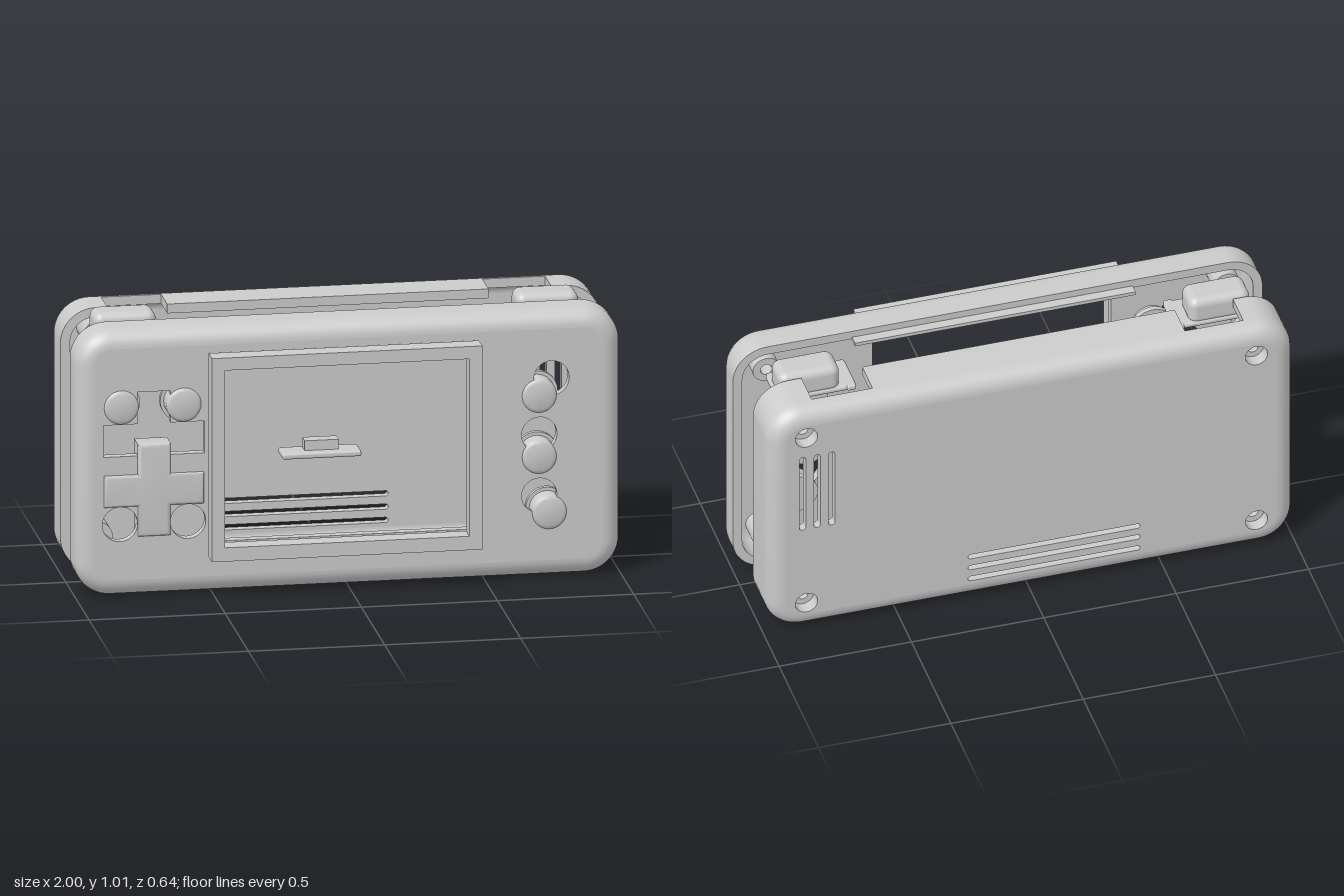
import * as THREE from 'three';
import { toCreasedNormals } from 'three/addons/utils/BufferGeometryUtils.js';
import { RoundedBoxGeometry } from 'three/addons/geometries/RoundedBoxGeometry.js';

const grey = new THREE.MeshStandardMaterial({ color: 0xcccccc });
const V2 = (x, y) => new THREE.Vector2(x, y);

function add(parent, name, geometry, x = 0, y = 0, z = 0) {
  const mesh = new THREE.Mesh(geometry, grey);
  mesh.name = name;
  mesh.position.set(x, y, z);
  parent.add(mesh);
  return mesh;
}

// Outline shapes
const polygon = (pts) => new THREE.Shape(pts.map(([x, y]) => V2(x, y)));
const rect = (x0, y0, x1, y1) => polygon([[x0, y0], [x1, y0], [x1, y1], [x0, y1]]);
const circle = (x, y, r) => new THREE.Shape().absarc(x, y, r, 0, Math.PI * 2);
const cross = (x, y, a, b, w) => polygon([
  [x - w, y - b], [x + w, y - b], [x + w, y - w], [x + a, y - w], [x + a, y + w], [x + w, y + w],
  [x + w, y + b], [x - w, y + b], [x - w, y + w], [x - a, y + w], [x - a, y - w], [x - w, y - w]]);
function slot(x0, y0, x1, y1, r) {
  const a = Math.atan2(y1 - y0, x1 - x0);
  return new THREE.Shape()
    .absarc(x1, y1, r, a - Math.PI / 2, a + Math.PI / 2)
    .absarc(x0, y0, r, a + Math.PI / 2, a + Math.PI * 1.5);
}

// Rounded rectangle loop with outward normals; notches cut into the rim of bottom and top edges
function shellLoop(hw, hh, radius, bottom, top) {
  const loop = [];
  const edge = (notches, y, ny) => notches.forEach(([x0, x1, depth, round]) => {
    const put = (x, h) => loop.push({ x, y, nx: 0, ny, h });
    put(x0, 0);
    const n = round ? 14 : 1;
    for (let i = 0; i <= n; i++) {
      const t = i / n;
      put(x0 + (x1 - x0) * t, round ? depth * (0.5 + 0.5 * Math.sin(Math.PI * t)) : depth);
    }
    put(x1, 0);
  });
  const corner = (cx, cy, start) => {
    for (let i = 0; i <= 12; i++) {
      const a = start + (i / 12) * Math.PI / 2, nx = Math.cos(a), ny = Math.sin(a);
      loop.push({ x: cx + nx * radius, y: cy + ny * radius, nx, ny, h: 0, corner: true });
    }
  };
  const cx = hw - radius, cy = hh - radius;
  edge(bottom, -hh, -1);
  corner(cx, -cy, -Math.PI / 2);
  corner(cx, cy, 0);
  edge(top, hh, 1);
  corner(-cx, cy, Math.PI / 2);
  corner(-cx, -cy, Math.PI);
  return loop;
}

// Hollow half of the case: rounded rim wall plus a flat face with holes
function shell(group, name, { hw, hh, rim, face, bottom = [], top = [], holes }) {
  const R = 0.065, t = 0.035, loop = shellLoop(hw, hh, 0.13, bottom, top);
  const arc = (r, dir) => Array.from({ length: 9 }, (_, i) => {
    const a = (dir > 0 ? i : 8 - i) / 8 * Math.PI / 2;
    return [R - r * Math.cos(a), face - R + r * Math.sin(a)];
  });
  const profile = [[0, rim], ...arc(R, 1), ...arc(R - t, -1), [t, rim], [0, rim]];
  const pos = [];
  const point = (p, [inset, z]) =>
    [p.x - p.nx * inset, p.y - p.ny * inset, z === rim ? rim + p.h : z];
  for (let k = 0; k < profile.length - 1; k++) {
    if (k === 9) continue;
    loop.forEach((p, i) => {
      const q = loop[(i + 1) % loop.length];
      const a = point(p, profile[k]), b = point(q, profile[k]);
      const c = point(q, profile[k + 1]), d = point(p, profile[k + 1]);
      pos.push(...a, ...b, ...c, ...a, ...c, ...d);
    });
  }
  const wall = new THREE.BufferGeometry();
  wall.setAttribute('position', new THREE.Float32BufferAttribute(pos, 3));
  add(group, name + 'Wall', toCreasedNormals(wall, 0.6));

  const plate = polygon(loop.filter((p) => p.corner).map((p) => [p.x - p.nx * R, p.y - p.ny * R]));
  plate.holes = holes;
  add(group, name + 'Face',
    new THREE.ExtrudeGeometry(plate, { depth: t, bevelEnabled: false, curveSegments: 14 }), 0, 0, face - t);
}

// Turned part along z, from [radius, z] points
const turned = (pts) => toCreasedNormals(
  new THREE.LatheGeometry(pts.map(([r, z]) => V2(r, z)), 28).rotateX(Math.PI / 2), 0.6);
const postGeometry = (ri, ro, z0, z1) => turned([[ri, z0], [ro, z0], [ro, z1], [ri, z1], [ri, z0]]);

export function createModel() {
  const model = new THREE.Group();
  model.name = 'handheldConsole';
  const cy = 0.505;

  // Front half of the case
  const front = new THREE.Group();
  front.name = 'frontShell';
  front.position.y = cy;
  model.add(front);
  shell(front, 'frontShell', {
    hw: 1, hh: 0.5, rim: 0.085, face: 0.228,
    holes: [
      rect(-0.46, 0.2 - cy, 0.44, 0.87 - cy),
      cross(-0.715, 0.595 - cy, 0.185, 0.18, 0.06),
      ...[[-0.84, 0.28], [-0.59, 0.28], [0.745, 0.755], [0.7, 0.545], [0.7, 0.315]]
        .map(([x, y]) => circle(x, y - cy, 0.065)),
    ],
  });
  for (const x of [-0.87, 0.87]) for (const y of [-0.385, 0.385])
    add(front, 'frontScrewPost', postGeometry(0.022, 0.05, 0.1, 0.2), x, y);
  // Locating lips along the seam
  for (const y of [-0.468, 0.466])
    add(front, 'seamLip', new THREE.BoxGeometry(1.06, 0.014, 0.07), 0.02, y, 0.083);

  // Back half of the case, turned to face the rear
  const back = new THREE.Group();
  back.name = 'backShell';
  back.position.set(-0.0075, cy, 0);
  back.rotation.y = Math.PI;
  model.add(back);
  const screws = [];
  for (const x of [-0.85, 0.85]) for (const y of [-0.378, 0.378]) screws.push([x, y]);
  shell(back, 'backShell', {
    hw: 0.9925, hh: 0.495, rim: 0.12, face: 0.32,
    bottom: [[-0.73, -0.61, 0.12, true], [0, 0.18, 0.06], [0.27, 0.43, 0.05], [0.55, 0.72, 0.06]],
    top: [[0.82, 0.6, 0.13], [-0.58, -0.81, 0.13]],
    holes: [
      ...screws.map(([x, y]) => circle(x, y, 0.042)),
      ...[0.865, 0.81, 0.755].map((x) => slot(-x, 0.475 - cy, -x, 0.785 - cy, 0.012)),
      ...[0.2, 0.15, 0.1].map((y) => slot(-0.23, y - cy, 0.4, y - cy, 0.01)),
    ],
  });
  // Counterbored screw posts
  const screwPost = turned([[0.02, 0.15], [0.055, 0.15], [0.055, 0.3], [0.042, 0.3],
    [0.042, 0.27], [0.02, 0.27], [0.02, 0.15]]);
  for (const [x, y] of screws) add(back, 'backScrewPost', screwPost, x, y);

  // Screen bezel with corner pegs
  const ring = rect(-0.518, 0.148, 0.475, 0.915);
  ring.holes = [rect(-0.47, 0.2, 0.427, 0.868)];
  add(model, 'screenBezel', new THREE.ExtrudeGeometry(ring, { depth: 0.072, bevelEnabled: false }), 0, 0, 0.248);
  const peg = turned([[0, 0.231], [0.018, 0.231], [0.018, 0.25]]);
  for (const x of [-0.493, 0.45]) for (const y of [0.172, 0.892]) add(model, 'bezelPeg', peg, x, y);

  // Round buttons with rear flanges
  const button = turned([[0, 0.15], [0.078, 0.15], [0.078, 0.17], [0.065, 0.17], [0.065, 0.222],
    [0.063, 0.229], [0.058, 0.234], [0.05, 0.237], [0, 0.238]]);
  for (const [x, y] of [[-0.835, 0.72], [-0.605, 0.72], [0.7, 0.69], [0.7, 0.46], [0.737, 0.25]])
    add(model, 'roundButton', button, x, y);

  // Directional pad
  const pad = new THREE.ExtrudeGeometry(cross(0, 0, 0.17, 0.16, 0.046),
    { depth: 0.075, bevelSize: 0.014, bevelThickness: 0.011, bevelSegments: 4 });
  add(model, 'directionPad', toCreasedNormals(pad, 0.7), -0.715, 0.405, 0.152);

  // Shoulder buttons: flange, cap and end ears
  for (const side of [-1, 1]) {
    const shoulder = new THREE.Group();
    shoulder.name = side > 0 ? 'leftShoulderButton' : 'rightShoulderButton';
    shoulder.position.set(side > 0 ? 0.742 : -0.758, 0, 0);
    model.add(shoulder);
    add(shoulder, 'shoulderFlange', new RoundedBoxGeometry(0.3, 0.022, 0.155, 3, 0.01), 0, 0.911, -0.04);
    add(shoulder, 'shoulderCap', new RoundedBoxGeometry(0.23, 0.11, 0.128, 5, 0.032), side * 0.025, 0.957, -0.05);
    for (const x of [-0.13, 0.13]) for (const z of [-0.108, 0.028])
      add(shoulder, 'shoulderEar', new RoundedBoxGeometry(0.035, 0.022, 0.03, 2, 0.008), x, 0.912, z);
  }

  // Sliding switch
  add(model, 'switchPlate', new RoundedBoxGeometry(0.29, 0.022, 0.1, 2, 0.008), -0.097, 0.503, 0.175);
  add(model, 'switchKnob', new THREE.BoxGeometry(0.125, 0.04, 0.05), -0.093, 0.531, 0.165);
  return model;
}
